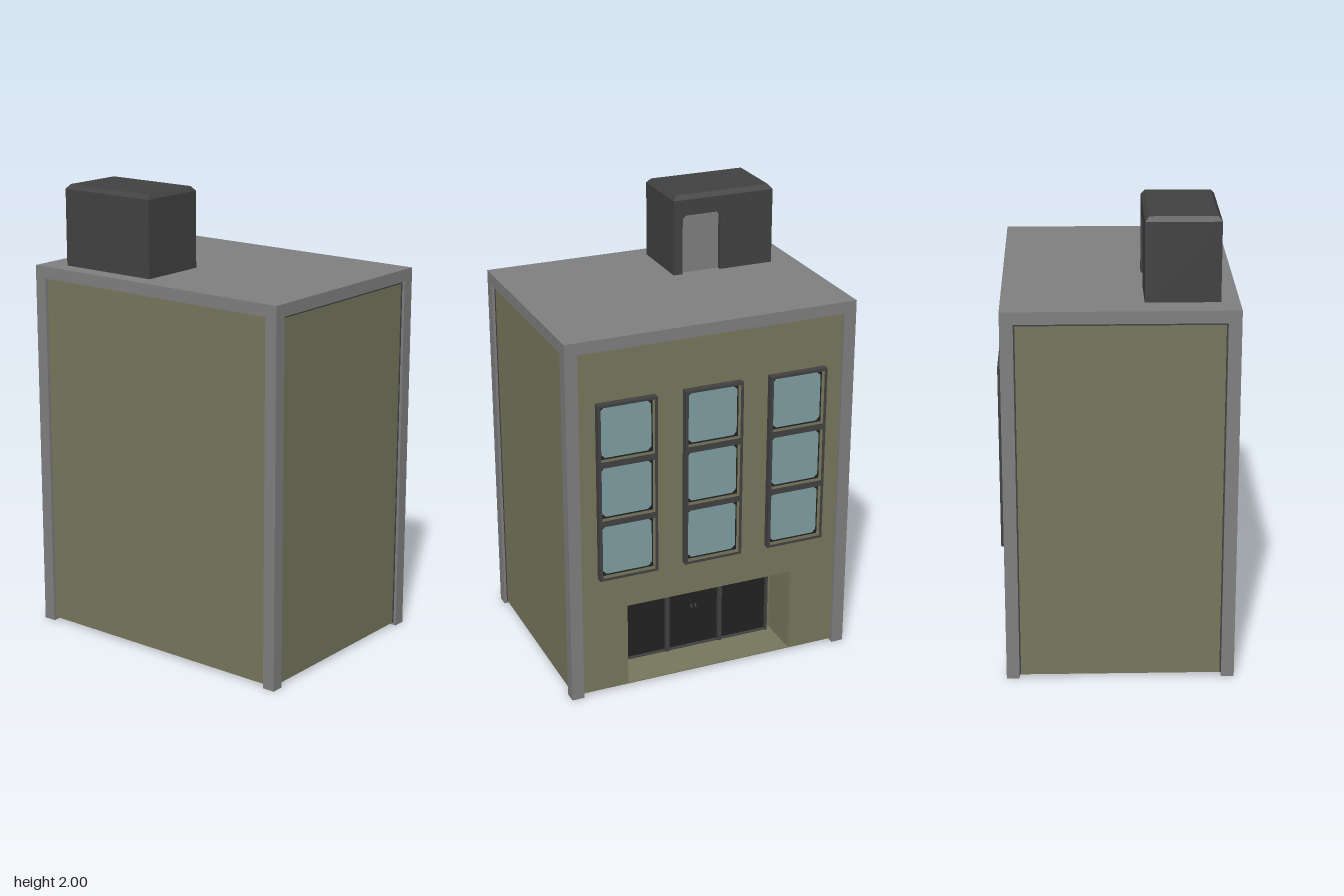
import * as THREE from 'three';

const material = (name, color, side = THREE.FrontSide) => {
  const m = new THREE.MeshStandardMaterial({ color, side });
  m.name = name;
  return m;
};

export function createModel() {
  const concrete = material('concrete grey', 0x808080);
  const wall = material('olive wall', 0x77775d, THREE.DoubleSide);
  const dark = material('dark grey', 0x424242);
  const black = material('near black', 0x222222);
  const glass = material('pale blue glass', 0x7f9fa3);

  const model = new THREE.Group();
  model.name = 'building';

  const add = (name, geometry, mat, parent = model) => {
    const mesh = new THREE.Mesh(geometry, mat);
    mesh.name = name;
    parent.add(mesh);
    return mesh;
  };
  // Box given by its limits on each axis
  const box = (name, mat, [x0, x1], [y0, y1], [z0, z1], parent) => {
    const g = new THREE.BoxGeometry(x1 - x0, y1 - y0, z1 - z0);
    g.translate((x0 + x1) / 2, (y0 + y1) / 2, (z0 + z1) / 2);
    return add(name, g, mat, parent);
  };
  const outline = (points) => points.map(([z, y]) => new THREE.Vector2(-z, y));
  // Upright plate facing +x, drawn in z and y, from x0 to x1
  const plate = (name, mat, points, x0, x1, parent, holes = []) => {
    const shape = new THREE.Shape(outline(points));
    holes.forEach((h) => shape.holes.push(new THREE.Path(outline(h))));
    const g = new THREE.ExtrudeGeometry(shape, { depth: x1 - x0, bevelEnabled: false });
    g.rotateY(Math.PI / 2);
    g.translate(x0, 0, 0);
    return add(name, g, mat, parent);
  };
  const rect = (z0, z1, y0, y1) => [[z0, y0], [z1, y0], [z1, y1], [z0, y1]];
  // Rectangle with cut corners
  const cutRect = (z0, z1, y0, y1, c) => [
    [z0 + c, y0], [z1 - c, y0], [z1, y0 + c], [z1, y1 - c],
    [z1 - c, y1], [z0 + c, y1], [z0, y1 - c], [z0, y0 + c]];

  // Concrete frame: roof slab and corner posts
  const X0 = -0.497, X1 = 0.477, Z = 0.655, P = 0.055, ROOF = 1.645, BEAM = 1.592;
  box('roofSlab', concrete, [X0, X1], [BEAM, ROOF], [-Z, Z]);
  for (const x of [X0, X1 - P]) {
    for (const z of [-Z, Z - P]) box('cornerPost', concrete, [x, x + P], [0, BEAM], [z, z + P]);
  }

  // Walls set in behind the frame, open underneath
  const I = 0.015, T = 0.008, B = 0.012;
  for (const s of [-1, 1]) {
    const z = s * (Z - I);
    box('endWall', wall, [X0 + I, X1 - I], [B, BEAM], [Math.min(z, z - s * T), Math.max(z, z - s * T)]);
    // Dark joint along the head and sides of the end wall
    const zr = [z - 0.003, z + 0.003];
    box('endWallJoint', dark, [X0 + P, X1 - P], [BEAM - 0.01, BEAM], zr);
    box('endWallJoint', dark, [X0 + P, X0 + P + 0.006], [B, BEAM], zr);
    box('endWallJoint', dark, [X1 - P - 0.006, X1 - P], [B, BEAM], zr);
  }
  box('plainSideWall', wall, [X0 + I, X0 + I + T], [B, BEAM], [-Z + I, Z - I]);
  const W = X1 - I, R = 0.39, RH = 0.4;
  plate('windowWall', wall, [
    [-Z + I, B], [-R, B], [-R, RH], [R, RH], [R, B], [Z - I, B], [Z - I, BEAM], [-Z + I, BEAM],
  ], W - T, W);

  // Entrance recess
  const entrance = new THREE.Group();
  entrance.name = 'entrance';
  model.add(entrance);
  const D = W - 0.2;
  box('recessBack', wall, [D - T, D], [B, RH], [-R, R], entrance);
  box('recessCeiling', wall, [D, W - T], [RH, RH + T], [-R, R], entrance);
  box('recessFloor', wall, [D - T, W], [B, B + 0.004], [-R, R], entrance);
  for (const s of [-1, 1]) {
    box('recessSide', wall, [D, W - T], [B, RH], [s * R - T / 2, s * R + T / 2], entrance);
  }

  // Three dark door panels between mullions, with handles on the middle one
  const DH = 0.355, DW = 0.365;
  box('doorPanels', black, [D, D + 0.006], [B + 0.004, DH], [-DW, DW], entrance);
  for (const z of [-DW + 0.004, -0.128, 0.128, DW - 0.004]) {
    const w = Math.abs(z) > 0.2 ? 0.004 : 0.008;
    box('doorMullion', dark, [D, D + 0.025], [B + 0.004, DH], [z - w, z + w], entrance);
  }
  box('doorHead', dark, [D, D + 0.025], [DH - 0.006, DH], [-DW, DW], entrance);
  box('doorSill', dark, [D, D + 0.02], [B + 0.004, B + 0.009], [-DW, DW], entrance);
  for (const z of [-0.016, 0.004]) {
    box('doorHandle', dark, [D + 0.006, D + 0.018], [0.21, 0.222], [z, z + 0.008], entrance);
  }

  // Three tall window frames of three panes each
  for (const zc of [0.391, 0.002, -0.388]) {
    const win = new THREE.Group();
    win.name = 'window';
    model.add(win);
    const rows = [0.693, 0.962, 1.232];
    const holes = rows.map((y) => rect(zc - 0.119, zc + 0.119, y - 0.121, y + 0.121));
    plate('windowFrame', dark, rect(zc - 0.132, zc + 0.132, 0.56, 1.365), W - T, 0.493, win, holes);
    for (const y of rows) {
      plate('windowSash', black, rect(zc - 0.119, zc + 0.119, y - 0.121, y + 0.121), W, W + 0.006, win);
      plate('windowPane', glass, cutRect(zc - 0.111, zc + 0.111, y - 0.112, y + 0.112, 0.016),
        W + 0.006, W + 0.01, win);
    }
  }

  // Roof hut with a bevelled top and a door niche
  const hut = new THREE.Group();
  hut.name = 'roofHut';
  model.add(hut);
  const hx = [-0.42, -0.11], hz = [-0.54, -0.07], TOP = 1.98, N = 0.025;
  box('hutBody', dark, [hx[0], hx[1] - N], [ROOF, TOP], hz, hut);
  const d0 = -0.29, d1 = -0.112, dh = 1.91, c = 0.015;
  plate('hutDoorWall', dark, [
    [hz[0], ROOF], [d0, ROOF], [d0, dh - c], [d0 + c, dh], [d1 - c, dh], [d1, dh - c],
    [d1, ROOF], [hz[1], ROOF], [hz[1], TOP], [hz[0], TOP],
  ], hx[1] - N, hx[1], hut);
  box('hutDoor', concrete, [hx[1] - N, hx[1] - N + 0.004], [ROOF, dh], [d0, d1], hut);

  const cap = new THREE.BoxGeometry(hx[1] - hx[0], 0.02, hz[1] - hz[0]);
  const p = cap.attributes.position;
  for (let i = 0; i < p.count; i++) {
    if (p.getY(i) > 0) {
      p.setX(i, p.getX(i) - Math.sign(p.getX(i)) * 0.016);
      p.setZ(i, p.getZ(i) - Math.sign(p.getZ(i)) * 0.016);
    }
  }
  cap.computeVertexNormals();
  cap.translate((hx[0] + hx[1]) / 2, TOP + 0.01, (hz[0] + hz[1]) / 2);
  add('hutCap', cap, dark, hut);

  return model;
}
